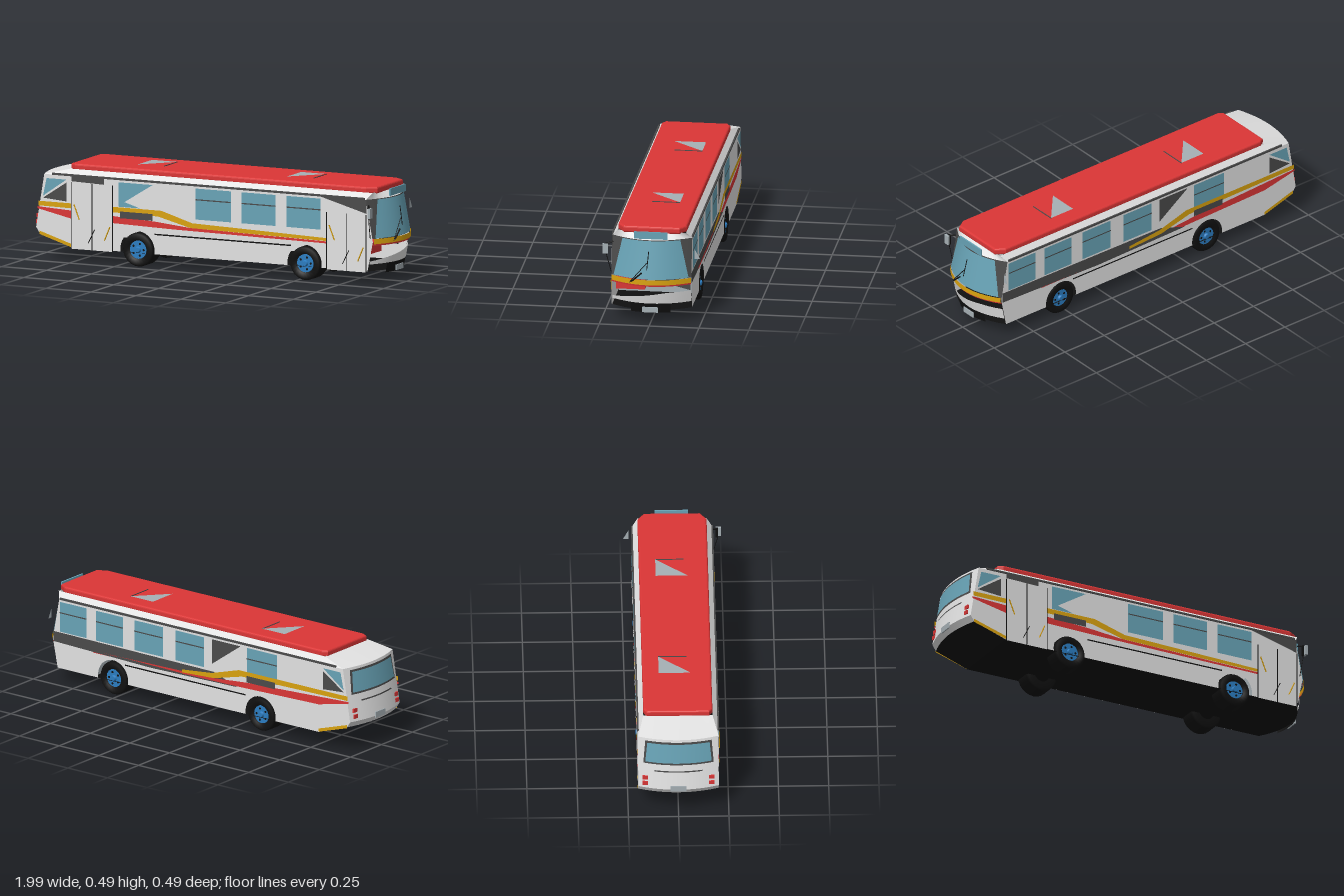
import * as THREE from 'three';

const mat = (name, color) => {
  const m = new THREE.MeshStandardMaterial({ color, side: THREE.DoubleSide });
  m.name = name;
  return m;
};
const lerp = THREE.MathUtils.lerp;

export function createModel() {
  const bus = new THREE.Group();
  bus.name = 'bus';
  const white = mat('white paint', 0xe2e2e2), red = mat('red paint', 0xdb3636);
  const yellow = mat('yellow paint', 0xd9a20f), dark = mat('dark grey trim', 0x4a4a4a);
  const black = mat('black rubber', 0x101010), glass = mat('blue glass', 0x68a3b6);
  const blue = mat('blue hub', 0x2b7cc0), grey = mat('light grey', 0xa6b0b5);

  const add = (name, geo, m, x = 0, y = 0, z = 0, parent = bus) => {
    const mesh = new THREE.Mesh(geo, m);
    mesh.name = name;
    mesh.position.set(x, y, z);
    parent.add(mesh);
    return mesh;
  };
  const box = (name, m, w, h, d, x, y, z) => add(name, new THREE.BoxGeometry(w, h, d), m, x, y, z);
  const outline = pts => new THREE.Shape(pts.map(p => new THREE.Vector2(...p)));
  // flat plate on a side wall, s = 1 for +z and -1 for -z
  const plate = (name, m, pts, s, out = 0.002) =>
    add(name, new THREE.ShapeGeometry(outline(pts)), m, 0, 0, s * (0.2 + out));
  const rect = (x0, x1, y0, y1) => [[x0, y0], [x1, y0], [x1, y1], [x0, y1]];
  // curved surface from a point rule over u, v in 0..1
  const grid = (name, m, rule, nu = 12, nv = 1) => {
    const g = new THREE.PlaneGeometry(1, 1, nu, nv), p = g.attributes.position;
    for (let i = 0; i < p.count; i++) p.setXYZ(i, ...rule(p.getX(i) + 0.5, p.getY(i) + 0.5));
    g.computeVertexNormals();
    return add(name, g, m);
  };
  const rod = (name, m, a, b, r = 0.003) => add(name, new THREE.TubeGeometry(
    new THREE.LineCurve3(new THREE.Vector3(...a), new THREE.Vector3(...b)), 1, r, 6), m);

  // bowed nose and tail
  const noseX = (y, z) => (y < 0.22 ? lerp(0.955, 0.985, (y - 0.07) / 0.15)
    : lerp(0.985, 0.945, (y - 0.22) / 0.21)) - 1.75 * z * z;
  const tailX = (y, z) => -(y < 0.16 ? lerp(0.975, 0.995, (y - 0.13) / 0.03)
    : lerp(0.995, 0.95, (y - 0.16) / 0.27)) + 0.9 * z * z;
  const noseStrip = (name, m, y0, y1, w0, w1 = w0, out = 0) => grid(name, m, (u, v) => {
    const y = lerp(y0, y1, v), z = lerp(w0, w1, v) * (1 - 2 * u);
    return [noseX(y, z) + out, y, z];
  });
  const tailStrip = (name, m, y0, y1, w0, w1 = w0, out = 0) => grid(name, m, (u, v) => {
    const y = lerp(y0, y1, v), z = lerp(w0, w1, v) * (2 * u - 1);
    return [tailX(y, z) - out, y, z];
  });

  // side walls with wheel arches
  const axles = [-0.395, 0.535];
  for (const s of [1, -1]) {
    const wall = new THREE.Shape();
    wall.moveTo(tailX(0.13, 0.2), 0.13);
    wall.lineTo(-0.76, 0.07);
    for (const x of axles) {
      wall.lineTo(x - 0.094, 0.07);
      wall.absarc(x, 0.085, 0.095, Math.PI + 0.16, -0.16, true);
    }
    wall.lineTo(noseX(0.07, 0.2), 0.07);
    wall.lineTo(noseX(0.22, 0.2), 0.22);
    wall.lineTo(noseX(0.43, 0.2), 0.43);
    wall.lineTo(tailX(0.43, 0.2), 0.43);
    wall.lineTo(tailX(0.16, 0.2), 0.16);
    add('sideWall', new THREE.ShapeGeometry(wall, 16), white, 0, 0, s * 0.2);

    // sloping cant rail and gutter
    grid('cantRail', white, (u, v) => [
      lerp(lerp(tailX(0.43, 0.2), -0.78, v), lerp(noseX(0.43, 0.2), 0.9, v), u),
      lerp(0.43, 0.462, v), s * lerp(0.2, 0.172, v)], 1);
    box('gutter', dark, 1.74, 0.01, 0.008, 0, 0.434, s * 0.2);

    // stripes
    plate('yellowStripe', yellow, [[-0.945, 0.27], [-0.28, 0.262], [-0.1, 0.217],
      [s > 0 ? 0.66 : 0.1, 0.207], [s > 0 ? 0.66 : 0.1, 0.222], [-0.09, 0.242],
      [-0.26, 0.292], [-0.945, 0.293]], s, 0.003);
    plate('redStripe', red, [[-0.95, 0.265], [-0.3, 0.235], [-0.1, 0.217], [0.66, 0.205],
      [0.66, 0.195], [-0.2, 0.203], [-0.76, 0.215], [-0.95, 0.255]], s);
    plate('greyStripe', dark, rect(-0.49, -0.31, 0.238, 0.272), s, 0.004);
    plate('rubbingStrip', black, rect(-0.3, 0.46, 0.167, 0.174), s);
    plate('rearSkirt', yellow, [[-0.94, 0.126], [-0.76, 0.071], [-0.76, 0.088], [-0.94, 0.143]], s);
    plate('rearQuarterWindow', glass, [[-0.9, 0.41], [-0.92, 0.32], [-0.79, 0.41]], s);
    plate('rearQuarterTrim', dark, [[-0.92, 0.31], [-0.79, 0.3], [-0.79, 0.395]], s);

    // wheels
    for (const x of axles) {
      const wheel = new THREE.Group();
      wheel.name = 'wheel';
      wheel.position.set(x, 0.085, s * 0.15);
      wheel.rotation.x = s * Math.PI / 2;
      bus.add(wheel);
      const profile = [[0.04, -0.05], [0.078, -0.05], [0.085, -0.04], [0.085, 0.04],
        [0.078, 0.05], [0.05, 0.05], [0.046, 0.035], [0, 0.035]];
      add('tyre', new THREE.LatheGeometry(profile.map(p => new THREE.Vector2(...p)), 24), black, 0, 0, 0, wheel);
      add('rim', new THREE.CylinderGeometry(0.046, 0.046, 0.01, 16), blue, 0, 0.038, 0, wheel);
      add('hubCap', new THREE.CylinderGeometry(0.012, 0.018, 0.012, 10), blue, 0, 0.047, 0, wheel);
      for (let i = 0; i < 5; i++) {
        const a = i * Math.PI * 0.4;
        add('rimHole', new THREE.CylinderGeometry(0.006, 0.006, 0.002, 8), black,
          0.031 * Math.cos(a), 0.043, 0.031 * Math.sin(a), wheel);
      }
    }
  }

  // side windows with a sliding-pane bar
  const windows = {
    1: [[-0.07, 0.125], [0.185, 0.375], [0.435, 0.625]],
    '-1': [[0.7, 0.87], [0.47, 0.64], [0.22, 0.4], [-0.04, 0.14], [-0.5, -0.31]]
  };
  for (const s of [1, -1]) for (const [a, b] of windows[s]) {
    plate('sideWindow', glass, rect(a, b, 0.262, 0.418), s);
    plate('windowBar', dark, rect(a, b, 0.359, 0.365), s, 0.004);
  }
  plate('halfWindow', glass, [[-0.5, 0.3], [-0.31, 0.418], [-0.5, 0.418]], 1);
  plate('lowerHalfWindow', glass, [[-0.5, 0.295], [-0.38, 0.295], [-0.5, 0.33]], 1);
  plate('darkHalfWindow', dark, [[-0.09, 0.418], [-0.27, 0.418], [-0.09, 0.29]], -1);
  plate('waistBand', dark, [[0.91, 0.205], [0.3, 0.19], [-0.25, 0.2], [-0.1, 0.25], [0.91, 0.258]], -1);
  plate('frontPillarTrim', dark, [[0.62, 0.43], [0.88, 0.36], [0.88, 0.43]], 1);
  plate('rearDoorTrim', dark, [[-0.76, 0.43], [-0.76, 0.405], [-0.58, 0.4], [-0.58, 0.43]], 1, 0.005);

  // two double-leaf doors
  for (const [a, b, top] of [[-0.76, -0.53, 0.4], [0.66, 0.88, 0.355]]) {
    const mid = (a + b) / 2;
    plate('door', white, rect(a, b, 0.065, top), 1, 0.005);
    for (const x of [a, mid, b]) plate('doorSeal', black, rect(x - 0.002, x + 0.002, 0.065, top), 1, 0.007);
    rod('doorHandle', yellow, [a + 0.015, 0.29, 0.208], [a + 0.045, 0.215, 0.208]);
    rod('doorHandle', yellow, [b - 0.045, 0.12, 0.208], [b - 0.015, 0.19, 0.208]);
    rod('doorArm', black, [mid - 0.02, 0.1, 0.208], [mid + 0.015, 0.17, 0.208], 0.002);
  }

  // floor and rear departure slope
  grid('floor', black, (u, v) => {
    const z = 0.2 * (2 * u - 1);
    return [lerp(-0.76, noseX(0.07, z), v), 0.07, z];
  });
  grid('rearFloor', black, (u, v) => {
    const z = 0.2 * (2 * u - 1);
    return [lerp(-0.76, tailX(0.13, z), v), lerp(0.07, 0.13, v), z];
  });

  // roof ends, raised roof and hatches
  for (const [end, x, name] of [[noseX, 0.9, 'frontBrow'], [tailX, -0.78, 'rearRoof']])
    grid(name, white, (u, v) => {
      const k = 2 * u - 1, z = lerp(0.2, 0.172, v) * k;
      return [lerp(end(0.43, 0.2 * k), x, v), lerp(0.43, 0.462, v), z];
    });
  const top = new THREE.ExtrudeGeometry(outline([[-0.775, -0.15], [-0.755, -0.162], [0.86, -0.162],
    [0.9, -0.135], [0.9, 0.135], [0.86, 0.162], [-0.755, 0.162], [-0.775, 0.15]]),
  { depth: 0.015, bevelEnabled: true, bevelThickness: 0.01, bevelSize: 0.01, bevelSegments: 3 });
  add('raisedRoof', top.rotateX(-Math.PI / 2), red, 0, 0.464, 0);
  for (const x of [-0.46, 0.37]) {
    const hatch = new THREE.ShapeGeometry(outline([[0, 0.09], [0, -0.07], [0.14, 0.09]]));
    add('roofHatch', hatch.rotateX(-Math.PI / 2), grey, x, 0.4915, 0);
    box('hatchEdge', dark, 0.004, 0.003, 0.14, x + 0.14, 0.491, -0.02);
  }

  // nose: windscreen, bar, open grille and bumper
  noseStrip('windscreenSurround', dark, 0.235, 0.43, 0.2);
  noseStrip('windscreen', glass, 0.237, 0.427, 0.188, 0.145, 0.004);
  noseStrip('noseBar', yellow, 0.209, 0.235, 0.2, 0.2, 0.008);
  noseStrip('noseRedLine', red, 0.2, 0.209, 0.2, 0.2, 0.003);
  grid('frontBumper', white, (u, v) => {
    const z = 0.198 * (1 - 2 * u), y = lerp(0.105, lerp(0.12, 0.165, Math.min(1, u * 1.4)), v);
    return [noseX(y, z), y, z];
  });
  noseStrip('lowerValance', black, 0.055, 0.105, 0.1);
  box('frontPlate', grey, 0.006, 0.027, 0.078, 0.962, 0.073, 0);
  box('bulkhead', grey, 0.006, 0.15, 0.39, 0.66, 0.146, 0);
  box('dashCabinet', red, 0.06, 0.055, 0.145, 0.85, 0.178, 0.11);
  grid('driverPanel', dark, (u, v) => [0.86, lerp(0.205, lerp(0.2, 0.15, u), v), lerp(0.01, -0.19, u)], 1);
  box('destinationSign', glass, 0.008, 0.036, 0.168, 0.95, 0.457, -0.002);

  // wipers and mirrors
  rod('wiperArm', black, [0.982, 0.22, 0.1], [0.976, 0.32, 0.015], 0.002);
  rod('wiperArm', black, [0.984, 0.225, 0.09], [0.985, 0.27, 0.04], 0.004);
  rod('wiperBlade', black, [0.985, 0.285, 0.014], [0.968, 0.38, 0.006], 0.002);
  box('mirror', grey, 0.012, 0.05, 0.028, 0.915, 0.368, 0.231);
  box('mirrorBack', black, 0.008, 0.056, 0.012, 0.905, 0.368, 0.224);
  rod('mirrorArm', black, [0.89, 0.4, 0.195], [0.905, 0.39, 0.228], 0.004);
  rod('mirrorBrace', black, [0.9, 0.235, 0.2], [0.905, 0.34, 0.228], 0.002);
  grid('farMirror', grey, (u, v) => [0.91, lerp(0.332, lerp(0.383, 0.332, u), v), lerp(-0.216, -0.243, u)], 1);

  // tail
  tailStrip('tailPanel', white, 0.16, 0.43, 0.2);
  tailStrip('tailLowerPanel', white, 0.13, 0.16, 0.2);
  tailStrip('rearWindowFrame', dark, 0.295, 0.418, 0.175, 0.165, 0.003);
  tailStrip('rearWindow', glass, 0.305, 0.408, 0.165, 0.155, 0.005);
  tailStrip('engineVent', dark, 0.255, 0.262, 0.12, 0.12, 0.003);
  for (const s of [1, -1]) for (const y of [0.185, 0.215])
    box('tailLight', red, 0.008, 0.02, 0.028, tailX(y, 0.165) - 0.001, y, s * 0.165);
  box('rearPlate', grey, 0.006, 0.03, 0.08, -0.993, 0.165, 0);
  return bus;
}
